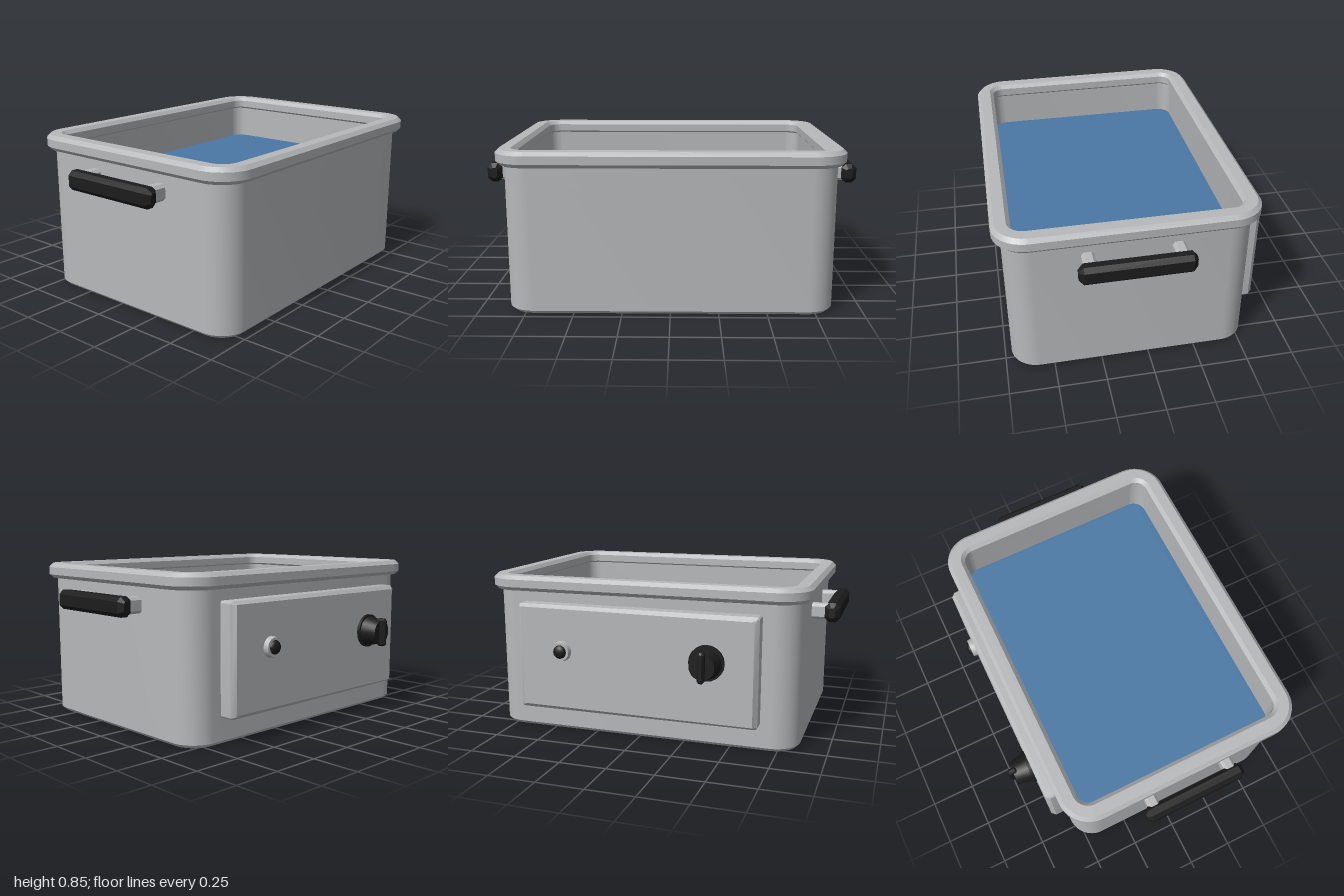
import * as THREE from 'three';
import { toCreasedNormals } from 'three/addons/utils/BufferGeometryUtils.js';

const steel = new THREE.MeshStandardMaterial({ color: 0xb6b8ba });
steel.name = 'brushed steel';
const black = new THREE.MeshStandardMaterial({ color: 0x1c1c1c });
black.name = 'black plastic';
const blue = new THREE.MeshStandardMaterial({ color: 0x4a78a5 });
blue.name = 'water blue';

const TUB_Z = 0.088; // the tub sits forward of the control panel

// Rectangle with rounded corners, centred on the origin
function roundedRect(hw, hh, r, Type = THREE.Shape) {
  const s = new Type();
  s.moveTo(hw, -hh + r);
  s.absarc(hw - r, hh - r, r, 0, Math.PI / 2);
  s.absarc(-hw + r, hh - r, r, Math.PI / 2, Math.PI);
  s.absarc(-hw + r, -hh + r, r, Math.PI, Math.PI * 1.5);
  s.absarc(hw - r, -hh + r, r, Math.PI * 1.5, Math.PI * 2);
  return s;
}

// Rectangle with cut corners
function cutRect(hw, hh, c) {
  return new THREE.Shape([
    [hw, -hh + c], [hw, hh - c], [hw - c, hh], [-hw + c, hh],
    [-hw, hh - c], [-hw, -hh + c], [-hw + c, -hh], [hw - c, -hh],
  ].map(([x, y]) => new THREE.Vector2(x, y)));
}

// Extrusion from z = 0 to z = depth with chamfers kept inside the outline
function chamfered(shape, depth, bevel) {
  const geo = new THREE.ExtrudeGeometry(shape, {
    depth: depth - 2 * bevel, bevelEnabled: bevel > 0, bevelThickness: bevel,
    bevelSize: bevel, bevelOffset: -bevel, bevelSegments: 1, curveSegments: 7,
  });
  geo.translate(0, 0, bevel);
  return toCreasedNormals(geo, 0.5);
}

function add(parent, name, geo, material, x = 0, y = 0, z = 0) {
  const mesh = new THREE.Mesh(geo, material);
  mesh.name = name;
  mesh.position.set(x, y, z);
  parent.add(mesh);
  return mesh;
}

// Upright slab or ring from y0 to y1
function layer(parent, name, shape, y0, y1, bevel, material) {
  const geo = chamfered(shape, y1 - y0, bevel).rotateX(-Math.PI / 2);
  return add(parent, name, geo, material, 0, y0, TUB_Z);
}

function makeTub(root) {
  const walls = roundedRect(0.85, 0.628, 0.14);
  walls.holes.push(roundedRect(0.8, 0.58, 0.075, THREE.Path));
  layer(root, 'tubWalls', walls, 0, 0.81, 0.018, steel);

  const rim = roundedRect(0.89, 0.67, 0.17);
  rim.holes.push(roundedRect(0.79, 0.572, 0.065, THREE.Path));
  layer(root, 'rim', rim, 0.77, 0.852, 0.02, steel);

  layer(root, 'floor', roundedRect(0.805, 0.585, 0.075), 0.055, 0.09, 0, steel);
  const water = new THREE.ShapeGeometry(roundedRect(0.802, 0.582, 0.075), 7);
  add(root, 'water', water.rotateX(-Math.PI / 2), blue, 0, 0.59, TUB_Z);
}

function makeHandle(side) {
  const handle = new THREE.Group();
  handle.name = side > 0 ? 'leftHandle' : 'rightHandle';
  const grip = chamfered(cutRect(0.04, 0.051, 0.022), 0.574, 0.024);
  add(handle, 'grip', grip, black, side * 0.96, 0.676, TUB_Z - 0.287);
  for (const dz of [-0.225, 0.225]) {
    const post = chamfered(cutRect(0.033, 0.042, 0.015), 0.1, 0);
    post.rotateY(Math.PI / 2);
    add(handle, 'post', post, steel, side > 0 ? 0.84 : -0.94, 0.676, TUB_Z + dz);
  }
  return handle;
}

// Round part along -z; radii run from the panel outward
function turned(rBase, rTip, length) {
  return toCreasedNormals(
    new THREE.CylinderGeometry(rTip, rBase, length, 20).translate(0, length / 2, 0).rotateX(-Math.PI / 2), 0.6);
}

function makeControls(root) {
  const panel = new THREE.Group();
  panel.name = 'controlPanel';
  root.add(panel);
  const box = chamfered(roundedRect(0.66, 0.289, 0.015), 0.115, 0.022);
  add(panel, 'panelBox', box, steel, 0, 0.424, -0.63);

  // Dial with a raised pointer ridge
  const dial = new THREE.Group();
  dial.name = 'dial';
  dial.position.set(-0.4, 0.47, -0.63);
  panel.add(dial);
  add(dial, 'dialSkirt', turned(0.093, 0.093, 0.016), black);
  add(dial, 'dialBody', turned(0.083, 0.066, 0.087), black, 0, 0, -0.013);
  const ridge = chamfered(cutRect(0.018, 0.078, 0.01), 0.052, 0.01);
  add(dial, 'dialPointer', ridge, black, 0, 0, -0.128);

  // Indicator lamp with a steel collar
  const lamp = new THREE.Group();
  lamp.name = 'indicatorLamp';
  lamp.position.set(0.4, 0.47, -0.63);
  panel.add(lamp);
  add(lamp, 'lampCollar', turned(0.055, 0.05, 0.027), steel);
  const dome = new THREE.SphereGeometry(0.037, 16, 6, 0, Math.PI * 2, 0, Math.PI / 2);
  dome.scale(1, 0.6, 1).rotateX(-Math.PI / 2);
  add(lamp, 'lampDome', dome, black, 0, 0, -0.026);
}

export function createModel() {
  const root = new THREE.Group();
  root.name = 'waterBath';
  makeTub(root);
  for (const side of [1, -1]) root.add(makeHandle(side));
  makeControls(root);
  return root;
}
